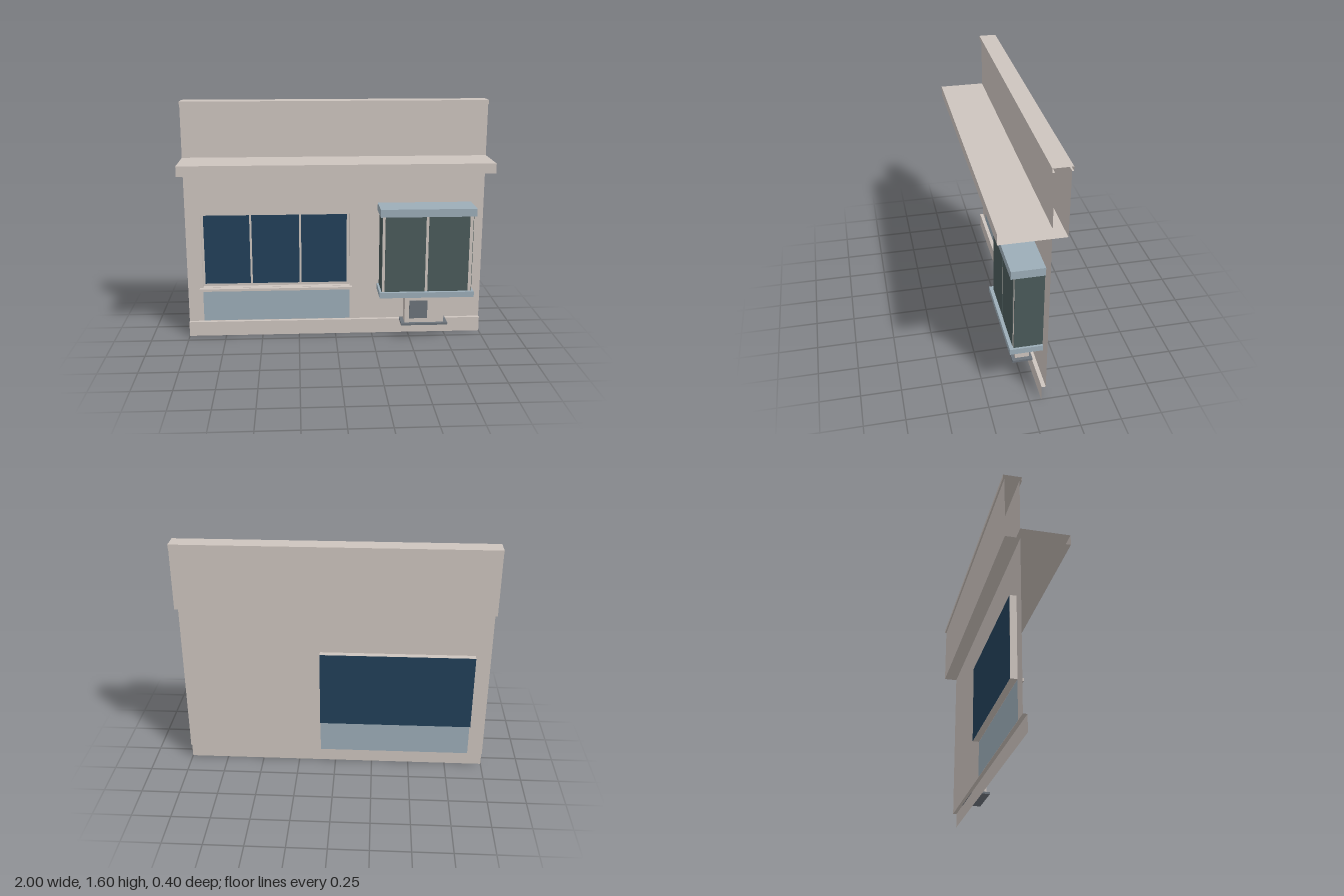
import * as THREE from 'three';

const mat = (name, color, side = THREE.FrontSide) => {
  const m = new THREE.MeshStandardMaterial({ color, side });
  m.name = name;
  return m;
};

export function createModel() {
  const group = new THREE.Group();
  const plaster = mat('plaster', 0xcdc4be, THREE.DoubleSide);
  const paleBlue = mat('paleBlue', 0x9cadb8, THREE.DoubleSide);
  const navy = mat('navyGlass', 0x224059, THREE.DoubleSide);
  const green = mat('greenGlass', 0x4a5a5a);
  const grey = mat('greyMetal', 0x6c737b);

  const add = (name, geo, material, z = 0) => {
    const m = new THREE.Mesh(geo, material);
    m.name = name;
    m.position.z += z;
    group.add(m);
    return m;
  };
  // Box given by its limits on each axis
  const box = (name, material, x0, x1, y0, y1, z0, z1) => {
    const g = new THREE.BoxGeometry(x1 - x0, y1 - y0, z1 - z0);
    g.translate((x0 + x1) / 2, (y0 + y1) / 2, (z0 + z1) / 2);
    return add(name, g, material);
  };
  const rect = (x0, x1, y0, y1, Type = THREE.Shape) =>
    new Type([[x0, y0], [x1, y0], [x1, y1], [x0, y1]].map(p => new THREE.Vector2(...p)));
  // Flat upright sheet with rectangular holes
  const sheet = (name, material, z, outer, holes = []) => {
    const s = rect(...outer);
    s.holes = holes.map(h => rect(...h, THREE.Path));
    return add(name, new THREE.ShapeGeometry(s), material, z);
  };
  // Open-ended folded sheet: a [z, y] profile swept along x
  const folded = (name, profile) => {
    const pos = [];
    for (let i = 0; i < profile.length - 1; i++) {
      const [za, ya] = profile[i], [zb, yb] = profile[i + 1];
      pos.push(-1, ya, za, 1, ya, za, 1, yb, zb, -1, ya, za, 1, yb, zb, -1, yb, zb);
    }
    const g = new THREE.BufferGeometry();
    g.setAttribute('position', new THREE.Float32BufferAttribute(pos, 3));
    g.computeVertexNormals();
    return add(name, g, plaster);
  };

  // Wall, plinth, and the canopy with parapet and cornice
  const W = -0.1;
  sheet('wall', plaster, W, [-1, 1, 0.1, 1.17], [[-0.9, 0.1, 0.102, 0.85]]);
  folded('plinth', [[-0.075, 0], [-0.075, 0.1], [W, 0.1]]);
  folded('canopyAndParapet', [
    [-0.19, 1.17], [0.2, 1.17], [0.2, 1.235], [W, 1.235], [W, 1.575], [-0.085, 1.575],
    [-0.085, 1.6], [-0.2, 1.6], [-0.2, 1.575], [-0.19, 1.575], [-0.19, 1.17],
  ]);

  // Wide window: apron panel, sill, recess, glass and frame
  sheet('apronPanel', paleBlue, W, [-0.9, 0.1, 0.102, 0.335]);
  box('windowSill', plaster, -0.92, 0.115, 0.32, 0.337, W, -0.07);
  const reveal = new THREE.ExtrudeGeometry(
    Object.assign(rect(-0.9, 0.1, 0.337, 0.85), {
      holes: [rect(-0.899, 0.099, 0.338, 0.849, THREE.Path)],
    }), { depth: 0.04, bevelEnabled: false });
  add('windowReveal', reveal, plaster, -0.14);
  sheet('windowGlass', navy, -0.141, [-0.9, 0.1, 0.337, 0.85]);
  sheet('windowFrame', plaster, -0.136, [-0.9, 0.1, 0.337, 0.85], [
    [-0.885, -0.577, 0.355, 0.835],
    [-0.563, -0.243, 0.355, 0.835],
    [-0.229, 0.08, 0.355, 0.835],
  ]);

  // Bay window: body, panes, and bands above and below
  box('bayBody', plaster, 0.302, 0.898, 0.35, 0.87, W + 0.002, 0.08);
  for (const [x0, x1] of [[0.32, 0.588], [0.606, 0.876]])
    box('bayFrontPane', green, x0, x1, 0.35, 0.87, 0.078, 0.083);
  for (const x of [0.302, 0.898])
    box('baySidePane', green, x - 0.003, x + 0.003, 0.35, 0.87, W + 0.002, 0.079);
  for (const [y0, y1] of [[0.315, 0.352], [0.868, 0.92]])
    box('bayBand', paleBlue, 0.285, 0.915, y0, y1, W + 0.002, 0.105);

  // Pedestal under the bay
  box('pedestal', plaster, 0.465, 0.73, 0.11, 0.3, -0.06, 0.03);
  box('pedestalPlate', grey, 0.495, 0.618, 0.142, 0.268, 0.028, 0.034);
  box('pedestalBase', grey, 0.44, 0.755, 0.098, 0.112, -0.078, 0.05);

  return group;
}
